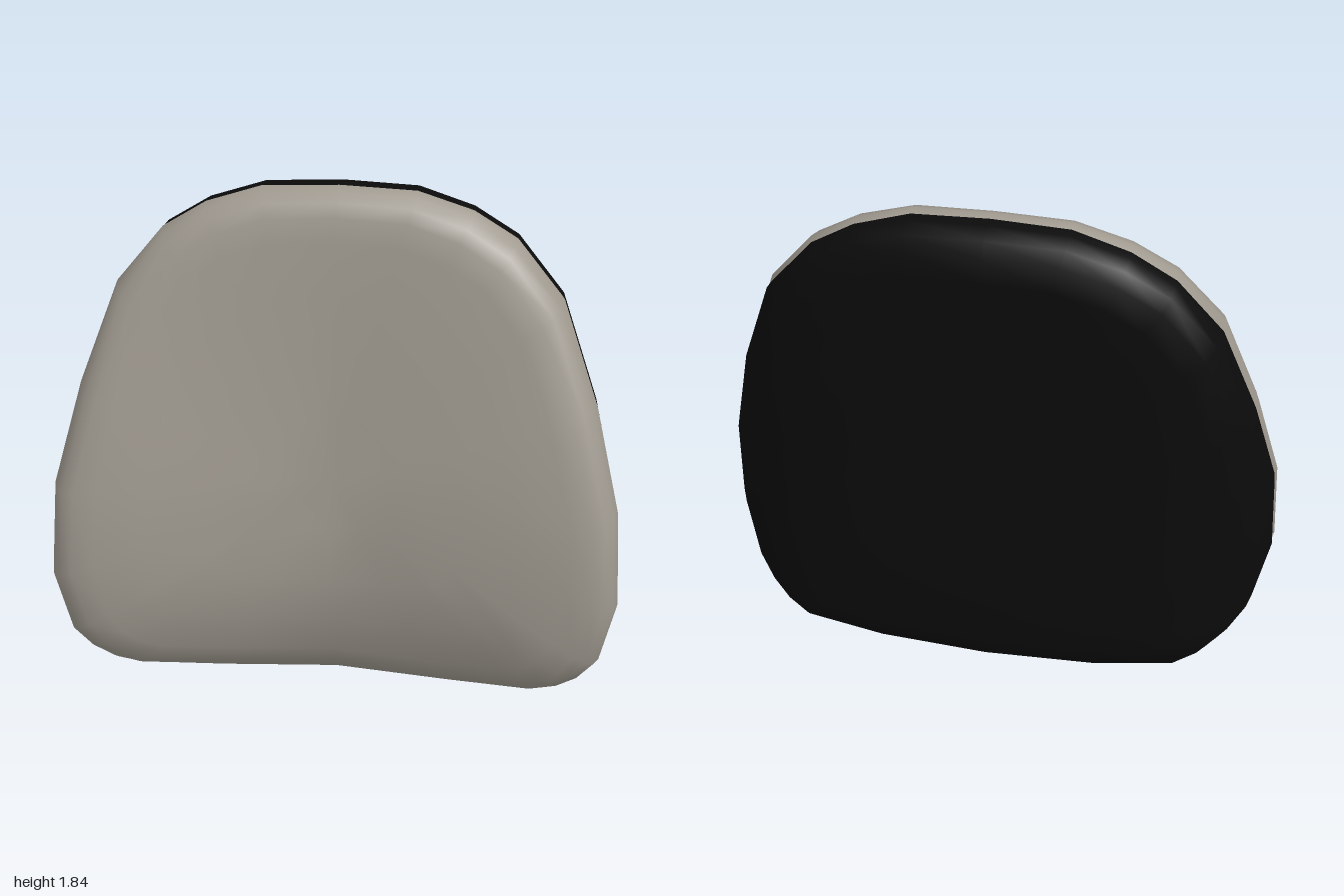
import * as THREE from 'three';

// Right half of the rim, top centre to bottom centre: x, y, z of the seam
const HALF = [
  [0, 1.84, -0.1], [0.26, 1.83, -0.1], [0.45, 1.77, -0.1], [0.6, 1.68, -0.095],
  [0.76, 1.49, -0.07], [0.89, 1.14, 0.01], [0.98, 0.79, 0.11], [1, 0.46, 0.15],
  [0.95, 0.22, 0.13], [0.89, 0.13, 0.1], [0.82, 0.07, 0.06], [0.73, 0.035, 0.04],
  [0.42, 0.008, -0.01], [0, 0, -0.05],
];
const RIM = [...HALF, ...HALF.slice(1, -1).reverse().map(([x, y, z]) => [-x, y, z])];
const CENTRE_Y = 0.85;

// Piecewise linear lookup in a list of [key, value]
function lookup(table, t) {
  if (t <= table[0][0]) return table[0][1];
  for (let i = 1; i < table.length; i++) {
    const [k0, v0] = table[i - 1], [k1, v1] = table[i];
    if (t <= k1) return v0 + (v1 - v0) * (t - k0) / (k1 - k0);
  }
  return table[table.length - 1][1];
}

// Cushion face: a leaning centre line with side wings that swell toward the bottom
const CENTRE_LINE = [[0, 0.02], [0.1, 0.07], [0.22, 0.12], [0.46, 0.15], [0.79, 0.13], [1.14, 0.09], [1.69, 0.025], [1.84, 0]];
const WING = [[0, 0.13], [0.46, 0.13], [0.79, 0.12], [1.14, 0.08], [1.69, 0.03]];
const frontZ = (x, y) =>
  lookup(CENTRE_LINE, y) + lookup(WING, y) * Math.pow(Math.min(Math.abs(x) / 0.76, 1), 1.2);

// Shell: nearly flat across the middle, wrapping forward at the sides
const WRAP = [[0, -0.278], [0.34, -0.27], [0.55, -0.25], [0.71, -0.23], [0.85, -0.14], [0.95, -0.05], [1, 0.02]];
const EASE = [[0.02, 0.05], [0.25, 0.02], [0.46, 0.01], [1.1, 0], [1.76, 0.02]];
const backZ = (x, y) => lookup(WRAP, Math.abs(x)) + lookup(EASE, y);

// Concentric rings [scale, blend from seam to surface], closed at the centre
function dome(rings, surface, facesFront) {
  const pos = [], index = [], n = RIM.length;
  for (const [s, blend] of rings) {
    for (const [rx, ry, rz] of RIM) {
      const x = rx * s, y = CENTRE_Y + (ry - CENTRE_Y) * s;
      pos.push(x, y, rz + (surface(x, y) - rz) * blend);
    }
  }
  const tri = (a, b, c) => (facesFront ? index.push(a, b, c) : index.push(a, c, b));
  for (let k = 0; k < rings.length - 1; k++) {
    for (let i = 0; i < n; i++) {
      const a = k * n + i, b = k * n + (i + 1) % n;
      tri(a, a + n, b);
      tri(b, a + n, b + n);
    }
  }
  const tip = pos.length / 3, last = (rings.length - 1) * n;
  pos.push(0, CENTRE_Y, surface(0, CENTRE_Y));
  for (let i = 0; i < n; i++) tri(last + i, tip, last + (i + 1) % n);
  const geo = new THREE.BufferGeometry();
  geo.setAttribute('position', new THREE.Float32BufferAttribute(pos, 3));
  geo.setIndex(index);
  geo.computeVertexNormals();
  return geo;
}

export function createModel() {
  const group = new THREE.Group();
  group.name = 'backrest';
  const fabric = new THREE.MeshStandardMaterial({ color: 0xa09a90 });
  fabric.name = 'warm grey fabric';
  const plastic = new THREE.MeshStandardMaterial({ color: 0x0b0b0b });
  plastic.name = 'black plastic';

  // Padded front with a soft rolled edge
  const cushion = new THREE.Mesh(dome(
    [[0.992, 0], [1, 0.25], [0.985, 0.6], [0.955, 0.85], [0.91, 0.97], [0.83, 1], [0.65, 1], [0.45, 1], [0.22, 1]],
    frontZ, true), fabric);
  cushion.name = 'cushion';

  // Rear shell
  const shell = new THREE.Mesh(dome(
    [[0.992, 0], [0.995, 0.3], [0.978, 0.7], [0.94, 0.97], [0.85, 1], [0.7, 1], [0.5, 1], [0.25, 1]],
    backZ, false), plastic);
  shell.name = 'backShell';

  group.add(cushion, shell);
  return group;
}
